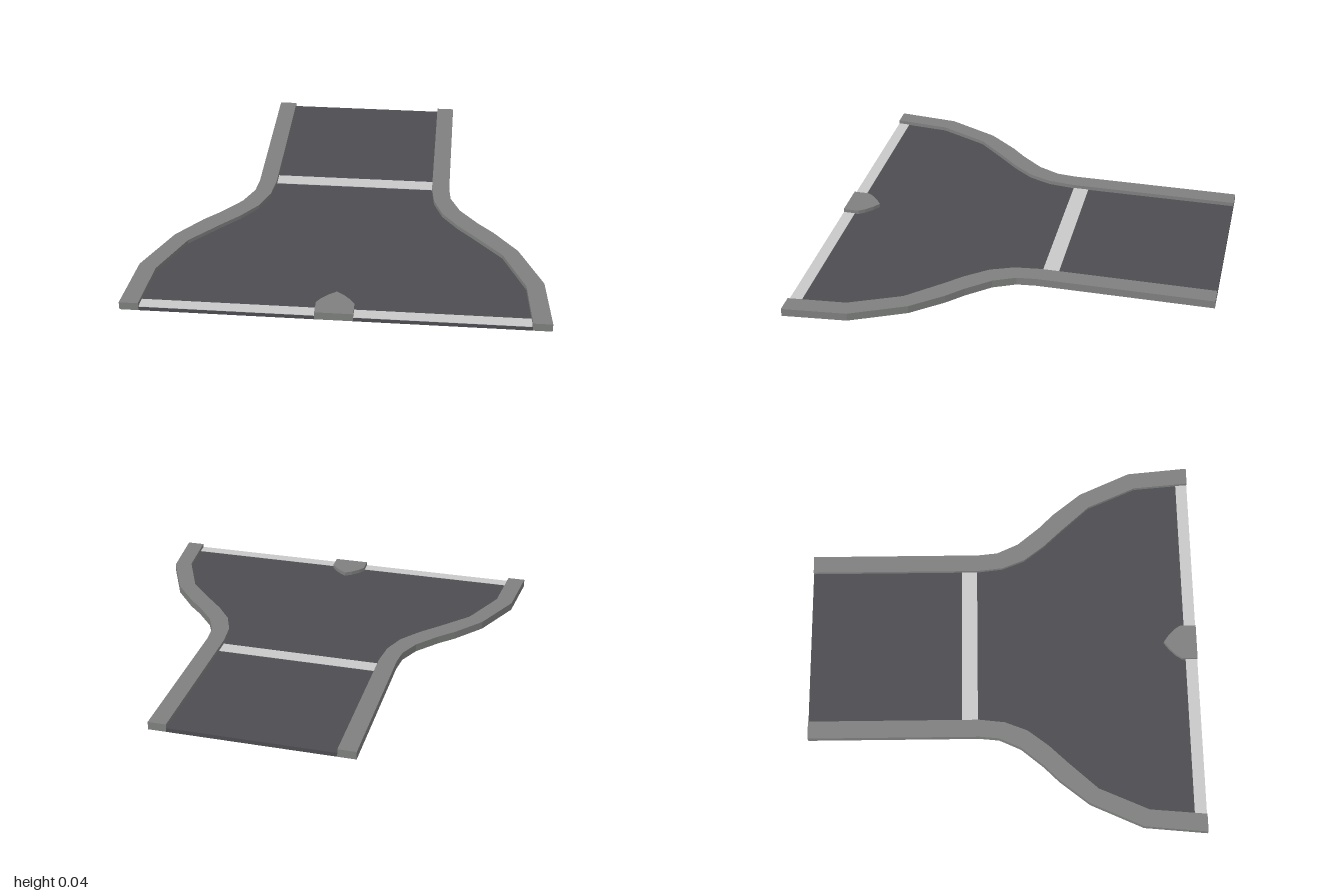
import * as THREE from 'three';

const paint = (name, color) => {
  const m = new THREE.MeshStandardMaterial({ color });
  m.name = name;
  return m;
};

// Plan curves [x, z] of the kerb, from the narrow back to the wide front
const outer = [[0.5, -1], [0.5, -0.13], [0.51, -0.03], [0.56, 0.08], [0.655, 0.195],
  [0.73, 0.27], [0.85, 0.42], [0.97, 0.685], [1, 1]];
const inner = [[0.41, -1], [0.41, -0.13], [0.425, 0], [0.47, 0.115], [0.55, 0.22],
  [0.64, 0.315], [0.775, 0.465], [0.885, 0.715], [0.91, 1]];
// Half outline of the pointed island, front corner to tip
const island = [[0.09, 1], [0.09, 0.92], [0.07, 0.89], [0.035, 0.855], [0, 0.83]];

const mirror = (pts) => pts.map(([x, z]) => [-x, z]);
const islandOutline = [...island, ...mirror(island.slice(0, -1)).reverse()];

export function createModel() {
  const group = new THREE.Group();
  const asphalt = paint('asphalt', 0x4d4c51);
  const concrete = paint('concrete', 0x7e807e);
  const white = paint('whitePaint', 0xc9c9c9);

  // Raises a plan outline from height y0 to y1
  const slab = (name, pts, y0, y1, material) => {
    const shape = new THREE.Shape(pts.map(([x, z]) => new THREE.Vector2(x, -z)));
    const geo = new THREE.ExtrudeGeometry(shape, { depth: y1 - y0, bevelEnabled: false });
    geo.rotateX(-Math.PI / 2);
    geo.translate(0, y0, 0);
    const mesh = new THREE.Mesh(geo, material);
    mesh.name = name;
    group.add(mesh);
  };
  const rect = (x0, x1, z0, z1) => [[x0, z0], [x0, z1], [x1, z1], [x1, z0]];

  // Carriageway, notched around the island
  slab('roadSurface', [...inner, ...islandOutline, ...mirror(inner).reverse()], 0, 0.02, asphalt);

  // Kerbs on both sides
  const kerb = [...outer, ...[...inner].reverse()];
  slab('leftKerb', kerb, 0, 0.04, concrete);
  slab('rightKerb', mirror(kerb), 0, 0.04, concrete);

  // Traffic island
  slab('trafficIsland', islandOutline, 0, 0.04, concrete);

  // Painted lines
  slab('crossLine', rect(-0.41, 0.41, -0.217, -0.137), 0.02, 0.022, white);
  slab('leftStopLine', rect(0.09, 0.908, 0.94, 1), 0.02, 0.022, white);
  slab('rightStopLine', rect(-0.908, -0.09, 0.94, 1), 0.02, 0.022, white);

  return group;
}
